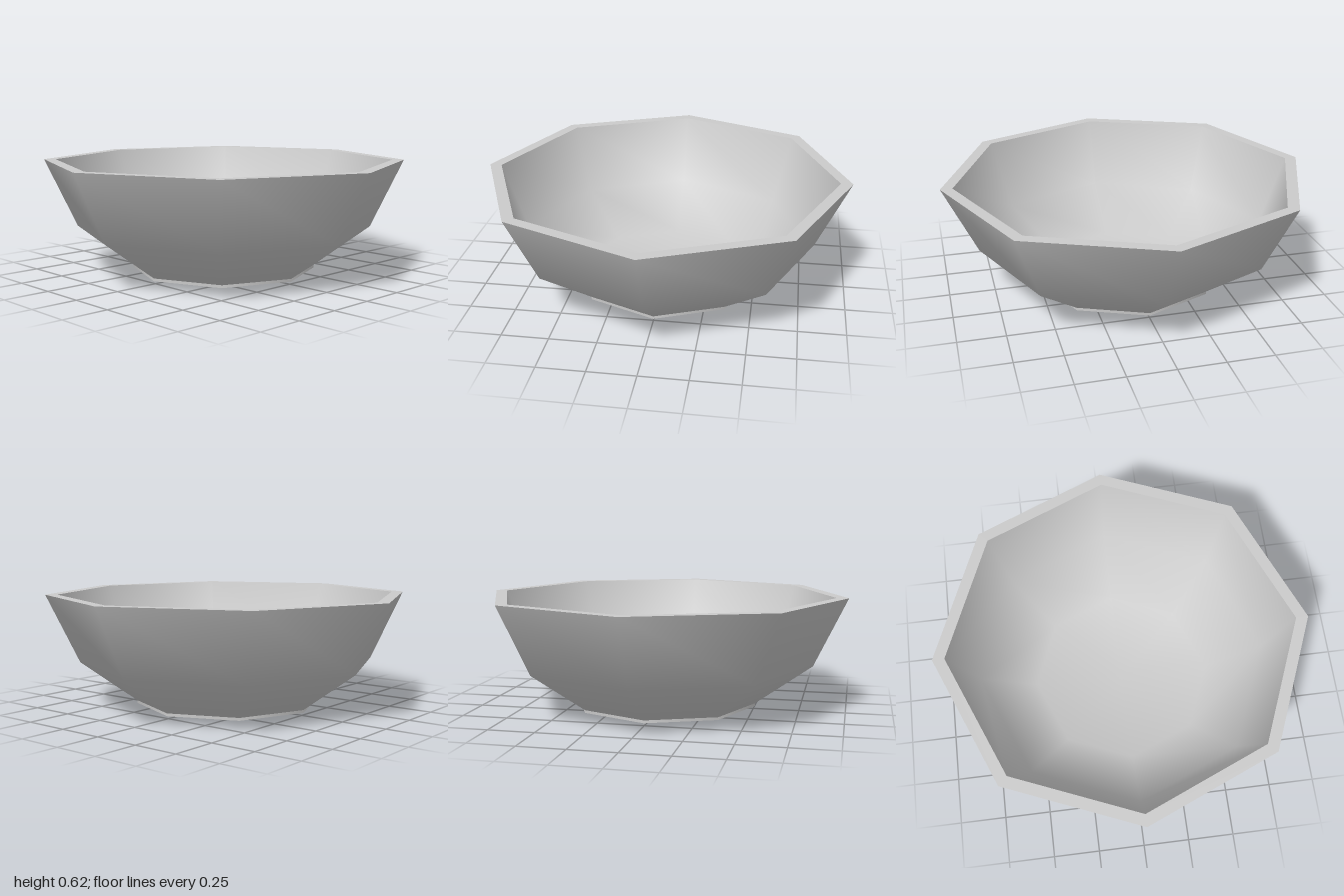
import * as THREE from 'three';

const SIDES = 8;

export function createModel() {
  const bowl = new THREE.Group();
  bowl.name = 'bowl';
  const material = new THREE.MeshStandardMaterial({ color: 0xcccccc });

  // Each band is its own lathe, so it is smooth inside and sharp at its borders.
  const band = (name, profile) => {
    const points = profile.map(([r, y]) => new THREE.Vector2(r, y));
    const mesh = new THREE.Mesh(new THREE.LatheGeometry(points, SIDES), material);
    mesh.name = name;
    bowl.add(mesh);
  };

  // Profile runs from the underside, up the outside, over the rim and back in.
  band('footUnderside', [[0, 0], [0.41, 0], [0.51, 0.015]]);
  band('footEdge', [[0.51, 0.015], [0.51, 0.03]]);
  band('outerWall', [[0.51, 0.03], [0.82, 0.25], [1, 0.625]]);
  band('rim', [[1, 0.625], [0.935, 0.625]]);
  // Inner wall flows smoothly into the flat floor.
  band('innerBasin', [[0.935, 0.625], [0.8, 0.25], [0.5, 0.033], [0, 0.033]]);

  return bowl;
}
